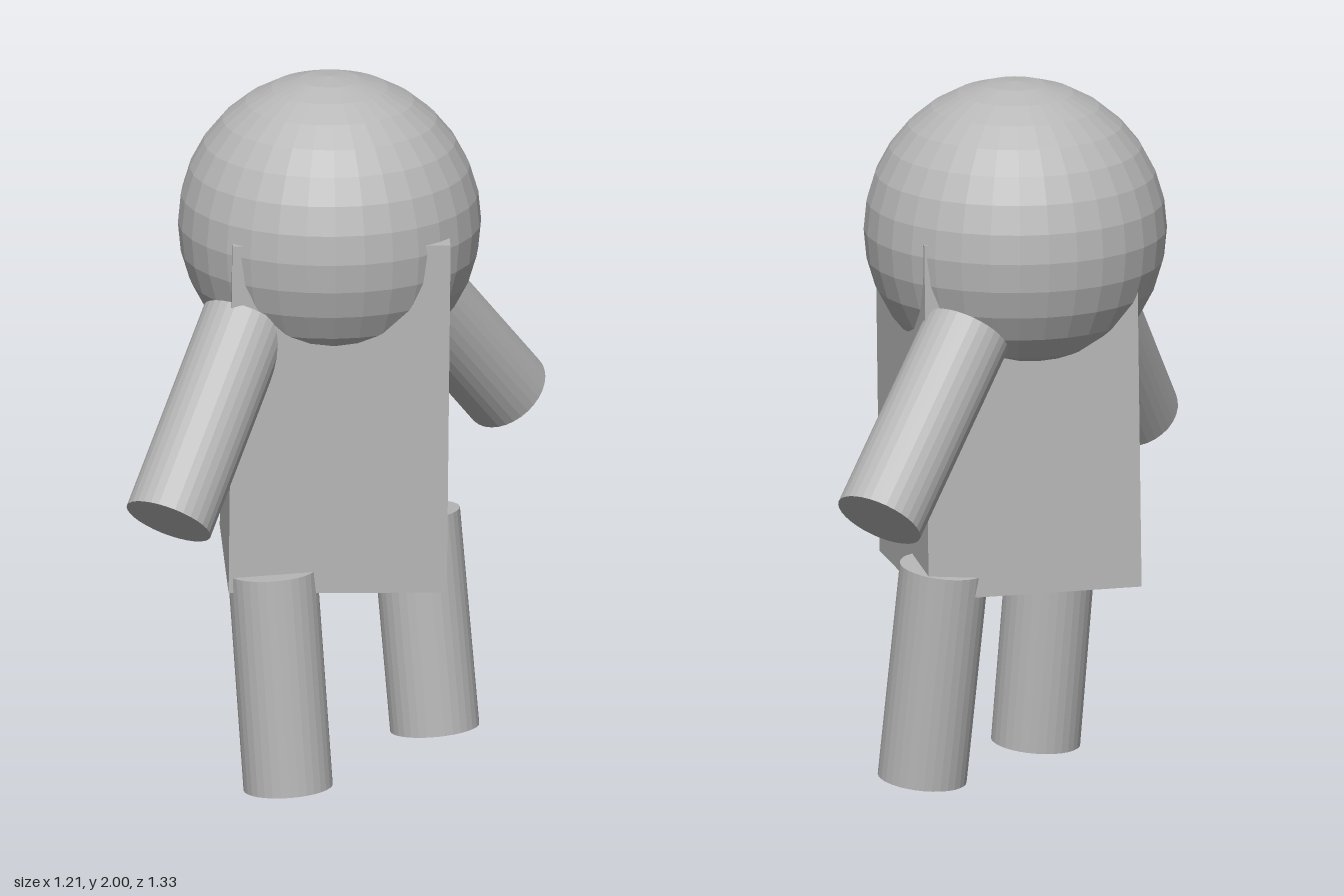
import * as THREE from 'three';

export function createModel() {
  const model = new THREE.Group();
  const grey = new THREE.MeshStandardMaterial({ color: 0xb8b8b8, flatShading: true });
  grey.name = 'grey';

  const add = (name, geometry) => {
    const mesh = new THREE.Mesh(geometry, grey);
    mesh.name = name;
    model.add(mesh);
    return mesh;
  };

  // Straight cylinder running from its free end to the end at the body
  const limb = (name, outer, inner) => {
    const a = new THREE.Vector3(...outer);
    const b = new THREE.Vector3(...inner);
    const axis = b.clone().sub(a);
    const mesh = add(name, new THREE.CylinderGeometry(0.125, 0.125, axis.length(), 32));
    mesh.position.copy(a).add(b).multiplyScalar(0.5);
    mesh.quaternion.setFromUnitVectors(new THREE.Vector3(0, 1, 0), axis.normalize());
  };

  // Head sunk into the top of the body
  add('head', new THREE.SphereGeometry(0.424, 32, 16)).position.set(-0.02, 1.576, -0.01);

  // Block body, leaning very slightly
  const body = add('body', new THREE.BoxGeometry(0.61, 1.02, 0.61));
  body.position.set(-0.005, 1.1, 0.011);
  body.rotation.set(0.013, 0, -0.01);

  // Arms spread across opposite corners
  limb('rightArm', [-0.493, 0.88, 0.558], [-0.263, 1.36, 0.222]);
  limb('leftArm', [0.497, 0.9, -0.56], [0.181, 1.353, -0.278]);

  // Legs, mid-stride
  limb('rightLeg', [-0.148, 0.014, 0.292], [-0.19, 0.638, 0.258]);
  limb('leftLeg', [0.28, 0.044, -0.153], [0.228, 0.663, -0.203]);

  return model;
}
